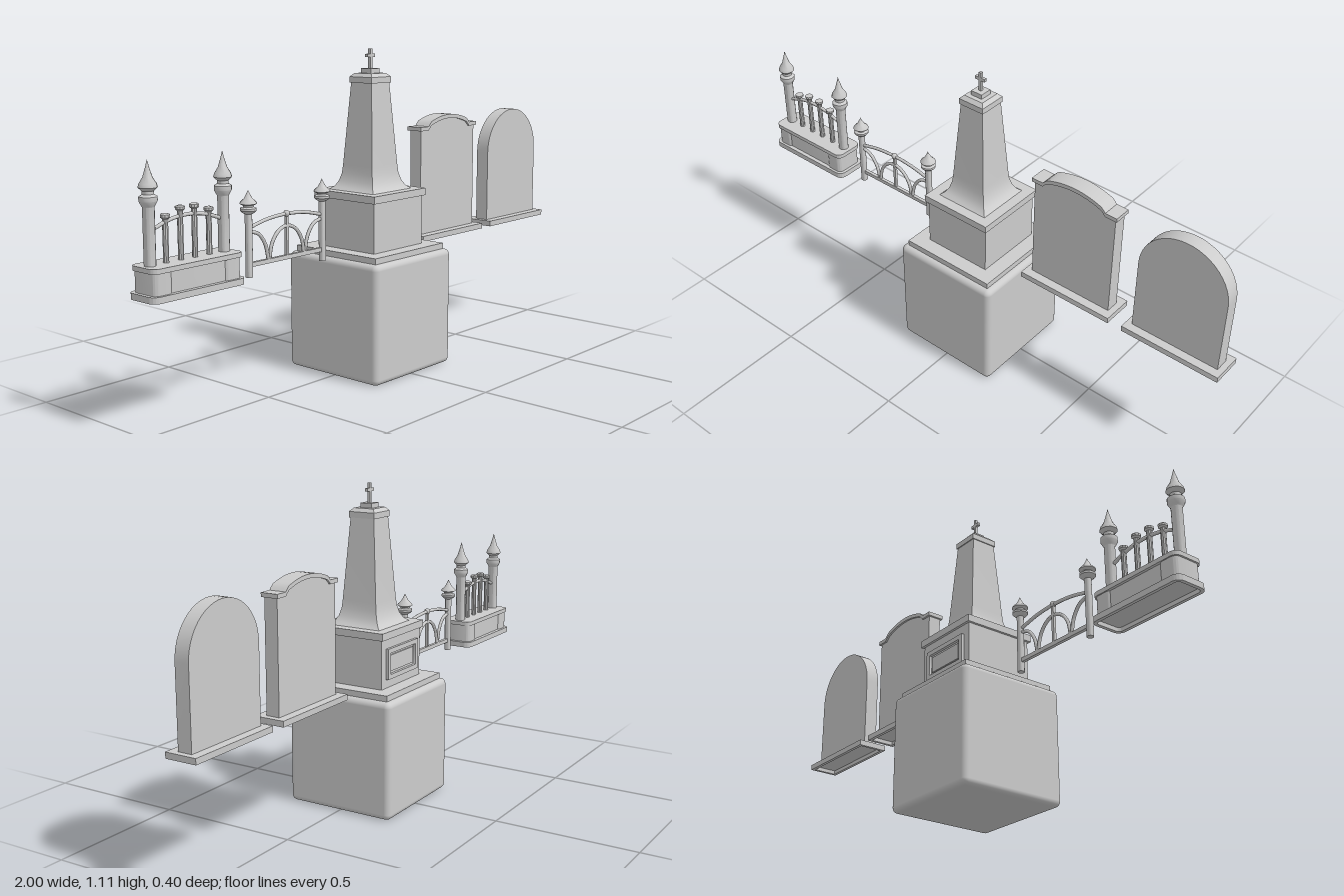
import * as THREE from 'three';
import { toCreasedNormals } from 'three/addons/utils/BufferGeometryUtils.js';
import { RoundedBoxGeometry } from 'three/addons/geometries/RoundedBoxGeometry.js';

const stone = new THREE.MeshStandardMaterial({ color: 0xcccccc });
const GROUND = 0.41; // level on which every piece stands

function add(parent, name, geometry, x = 0, y = 0, z = 0) {
  const mesh = new THREE.Mesh(geometry, stone);
  mesh.name = name;
  mesh.position.set(x, y, z);
  parent.add(mesh);
  return mesh;
}

function group(parent, name, x = 0) {
  const g = new THREE.Group();
  g.name = name;
  g.position.x = x;
  parent.add(g);
  return g;
}

// Box from half sizes, spanning y0 to y1
function box(parent, name, hx, y0, y1, hz, x = 0, z = 0) {
  return add(parent, name, new THREE.BoxGeometry(hx * 2, y1 - y0, hz * 2), x, (y0 + y1) / 2, z);
}

const turned = (profile, sides) => toCreasedNormals(
  new THREE.LatheGeometry(profile.map(([r, y]) => new THREE.Vector2(r, y)), sides), 0.6);

// Square loft: profile radii are half widths
function squareLoft(profile) {
  const points = profile.map(([r, y]) => new THREE.Vector2(r * Math.SQRT2, y));
  return toCreasedNormals(new THREE.LatheGeometry(points, 4, Math.PI / 4), 0.5);
}

function roundedRect(hx, hy, r) {
  const s = new THREE.Shape();
  s.absarc(hx - r, hy - r, r, 0, Math.PI / 2);
  s.absarc(-hx + r, hy - r, r, Math.PI / 2, Math.PI);
  s.absarc(-hx + r, -hy + r, r, Math.PI, Math.PI * 1.5);
  s.absarc(hx - r, -hy + r, r, Math.PI * 1.5, Math.PI * 2);
  s.closePath();
  return s;
}

// Extrusion centred on z
function slab(shape, depth) {
  const g = new THREE.ExtrudeGeometry(shape, { depth, bevelEnabled: false, curveSegments: 12 });
  g.translate(0, 0, -depth / 2);
  return toCreasedNormals(g, 0.5);
}

// Horizontal plate with rounded corners, optionally with an open middle
function plate(parent, name, hx, hz, r, y0, y1, rim = 0, x = 0) {
  const shape = roundedRect(hx, hz, r);
  if (rim) shape.holes.push(roundedRect(hx - rim, hz - rim, r / 2));
  const g = slab(shape, y1 - y0);
  g.rotateX(-Math.PI / 2);
  return add(parent, name, g, x, (y0 + y1) / 2, 0);
}

// Plinth that is hollow underneath
function plinth(parent, hx, hz, r) {
  plate(parent, 'plinthRim', hx, hz, r, GROUND, GROUND + 0.014, 0.012);
  plate(parent, 'plinthTop', hx, hz, r, GROUND + 0.014, GROUND + 0.02);
}

function rod(parent, name, points, r) {
  const curve = new THREE.CatmullRomCurve3(points.map(([x, y]) => new THREE.Vector3(x, y, 0)));
  add(parent, name, new THREE.TubeGeometry(curve, 20, r, 8));
}

// Round post with a collar and a pointed finial
function post(parent, x, y0, collar, top, r, wide) {
  const h = top - collar;
  add(parent, 'post', turned([
    [0, y0], [r, y0], [r, collar - 0.004], [wide * 0.7, collar],
    [wide * 0.95, collar + h * 0.1], [wide * 0.95, collar + h * 0.2], [wide * 0.6, collar + h * 0.25],
    [wide * 0.6, collar + h * 0.32], [wide, collar + h * 0.4], [wide * 0.9, collar + h * 0.48],
    [wide * 0.5, collar + h * 0.62], [wide * 0.2, collar + h * 0.83], [0, top],
  ], 12), x);
}

function monument(parent) {
  const g = group(parent, 'obeliskMonument');
  box(g, 'foot', 0.18, GROUND, 0.43, 0.18);
  box(g, 'pedestal', 0.127, 0.43, 0.6, 0.127);
  box(g, 'cornice', 0.136, 0.6, 0.625, 0.136);
  add(g, 'shaft', squareLoft([
    [0.1, 0.625], [0.086, 0.637], [0.076, 0.655], [0.069, 0.68], [0.066, 0.71], [0.046, 0.99],
    [0.05, 0.99], [0.05, 1.01], [0.038, 1.022], [0, 1.022],
  ]));
  box(g, 'crossFoot', 0.022, 1.022, 1.038, 0.022);
  box(g, 'crossUpright', 0.005, 1.038, 1.105, 0.005);
  box(g, 'crossArm', 0.02, 1.076, 1.087, 0.005);
  // Framed panel on the back
  const frame = roundedRect(0.1, 0.053, 0.002);
  frame.holes.push(roundedRect(0.083, 0.037, 0.002));
  add(g, 'panelFrame', slab(frame, 0.012), 0, 0.513, -0.131);
  box(g, 'panel', 0.074, 0.485, 0.541, 0.004, 0, -0.128);
}

// Outline over the top of the shouldered stone, right to left
function shoulderLine(half, drop) {
  const line = [[half, 0.82 - drop], [0.122, 0.82 - drop], [0.115, 0.828 - drop]];
  for (let i = 0; i <= 12; i++) {
    const t = 1 - i / 6;
    line.push([0.105 * t, 0.857 - drop - 0.02 * t * t]);
  }
  line.push([-0.115, 0.828 - drop], [-0.122, 0.82 - drop], [-half, 0.82 - drop]);
  return line.map(([x, y]) => new THREE.Vector2(x, y));
}

function shoulderedStone(parent, x) {
  const g = group(parent, 'shoulderedHeadstone', x);
  plinth(g, 0.18, 0.056, 0.001);
  const body = new THREE.Shape([new THREE.Vector2(-0.158, 0.43), new THREE.Vector2(0.158, 0.43),
    ...shoulderLine(0.158, 0.008)]);
  add(g, 'slab', slab(body, 0.048));
  const band = new THREE.Shape([...shoulderLine(0.166, 0), ...shoulderLine(0.166, 0.014).reverse()]);
  add(g, 'topMoulding', slab(band, 0.062));
}

function archedStone(parent, x) {
  const g = group(parent, 'archedHeadstone', x);
  plinth(g, 0.18, 0.056, 0.001);
  const body = new THREE.Shape();
  body.moveTo(-0.16, 0.43);
  body.lineTo(0.16, 0.43);
  body.lineTo(0.16, 0.69);
  body.absarc(0, 0.69, 0.16, 0, Math.PI);
  add(g, 'slab', slab(body, 0.05));
}

function plinthFence(parent, x) {
  const g = group(parent, 'fenceOnPlinth', x);
  plinth(g, 0.18, 0.061, 0.025);
  plate(g, 'wall', 0.16, 0.046, 0.02, 0.43, 0.495);
  plate(g, 'coping', 0.174, 0.056, 0.023, 0.495, 0.51);
  for (const s of [-1, 1]) {
    plate(g, 'endPier', 0.035, 0.052, 0.02, 0.43, 0.495, 0, s * 0.133);
    post(g, s * 0.142, 0.51, 0.685, 0.818, 0.018, 0.029);
  }
  for (const px of [-0.083, -0.027, 0.027, 0.083]) {
    const top = Math.abs(px) > 0.05 ? 0.655 : 0.672;
    add(g, 'bar', turned([[0.009, 0.51], [0.009, top - 0.016], [0.015, top - 0.011],
      [0.015, top - 0.003], [0.01, top], [0, top]], 10), px);
  }
  rod(g, 'archedRail', [[-0.14, 0.61], [-0.07, 0.634], [0, 0.642], [0.07, 0.634], [0.14, 0.61]], 0.006);
}

function archFence(parent, x) {
  const g = group(parent, 'archedFence', x);
  box(g, 'bottomRail', 0.166, 0.442, 0.456, 0.006);
  rod(g, 'topRail', [[-0.166, 0.566], [-0.085, 0.584], [0, 0.59], [0.085, 0.584], [0.166, 0.566]], 0.006);
  rod(g, 'middleArch', [[-0.078, 0.45], [-0.068, 0.499], [-0.04, 0.537], [0, 0.552],
    [0.04, 0.537], [0.068, 0.499], [0.078, 0.45]], 0.006);
  box(g, 'middleBar', 0.005, 0.45, 0.592, 0.005);
  add(g, 'middleKnob', new THREE.SphereGeometry(0.011, 10, 8), 0, 0.591);
  for (const s of [-1, 1]) {
    post(g, s * 0.166, GROUND, 0.615, 0.686, 0.012, 0.028);
    rod(g, 'sideArch', [[s * 0.166, 0.555], [s * 0.125, 0.542], [s * 0.096, 0.505], [s * 0.082, 0.45]], 0.006);
  }
}

export function createModel() {
  const model = new THREE.Group();
  model.name = 'graveyardSet';
  add(model, 'baseBlock', new RoundedBoxGeometry(0.402, 0.41, 0.402, 4, 0.02), 0, 0.205, 0);
  monument(model);
  plinthFence(model, -0.82);
  archFence(model, -0.409);
  shoulderedStone(model, 0.407);
  archedStone(model, 0.82);
  return model;
}
